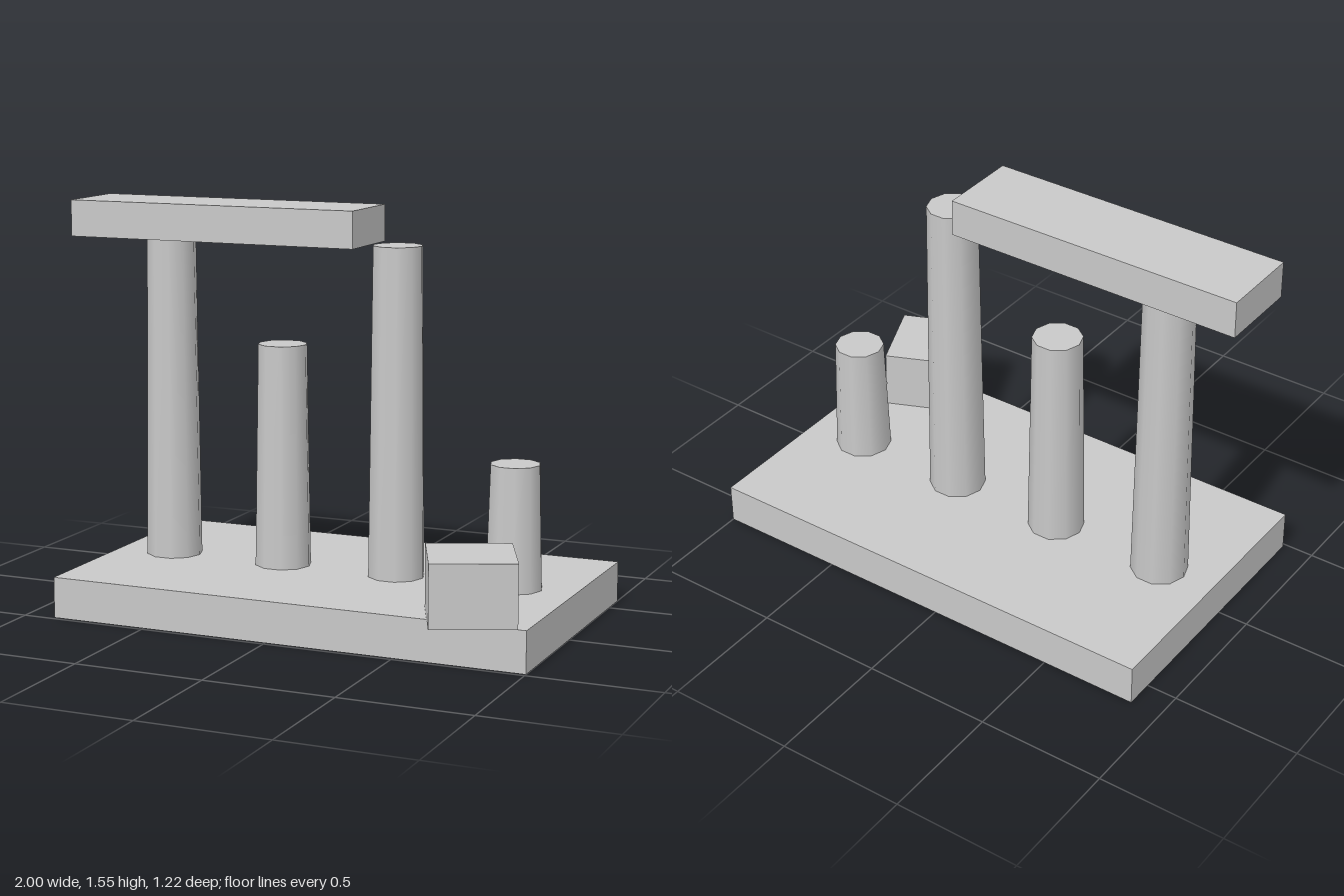
import * as THREE from 'three';

export function createModel() {
  const group = new THREE.Group();
  const stone = new THREE.MeshStandardMaterial({ color: 0xc8c8c8 });
  stone.name = 'pale grey stone';

  function add(name, geometry, x, y, z) {
    const mesh = new THREE.Mesh(geometry, stone);
    mesh.name = name;
    mesh.position.set(x, y, z);
    group.add(mesh);
    return mesh;
  }

  // Foundation slab
  const floor = 0.157;
  add('foundation', new THREE.BoxGeometry(1.88, floor, 1.097), 0.06, floor / 2, -0.063);

  // Row of tapered ten-sided columns, two of them broken short
  const tops = [1.41, 1.017, 1.412, 0.627];
  tops.forEach((top, i) => {
    const height = top - floor;
    const geometry = new THREE.CylinderGeometry(0.095, 0.109, height, 10);
    geometry.rotateY(Math.PI / 2);
    add('column' + (i + 1), geometry, -0.648 + i * 0.47, floor + height / 2, -0.064);
  });

  // Lintel beam lying on the first column
  add('lintel', new THREE.BoxGeometry(1.175, 0.14, 0.313), -0.4125, 1.477, -0.064);

  // Fallen block overhanging the front edge
  const block = add('fallenBlock', new THREE.BoxGeometry(0.313, 0.235, 0.313), 0.765, 0.2745, 0.407);
  block.rotation.y = 0.405;

  return group;
}
